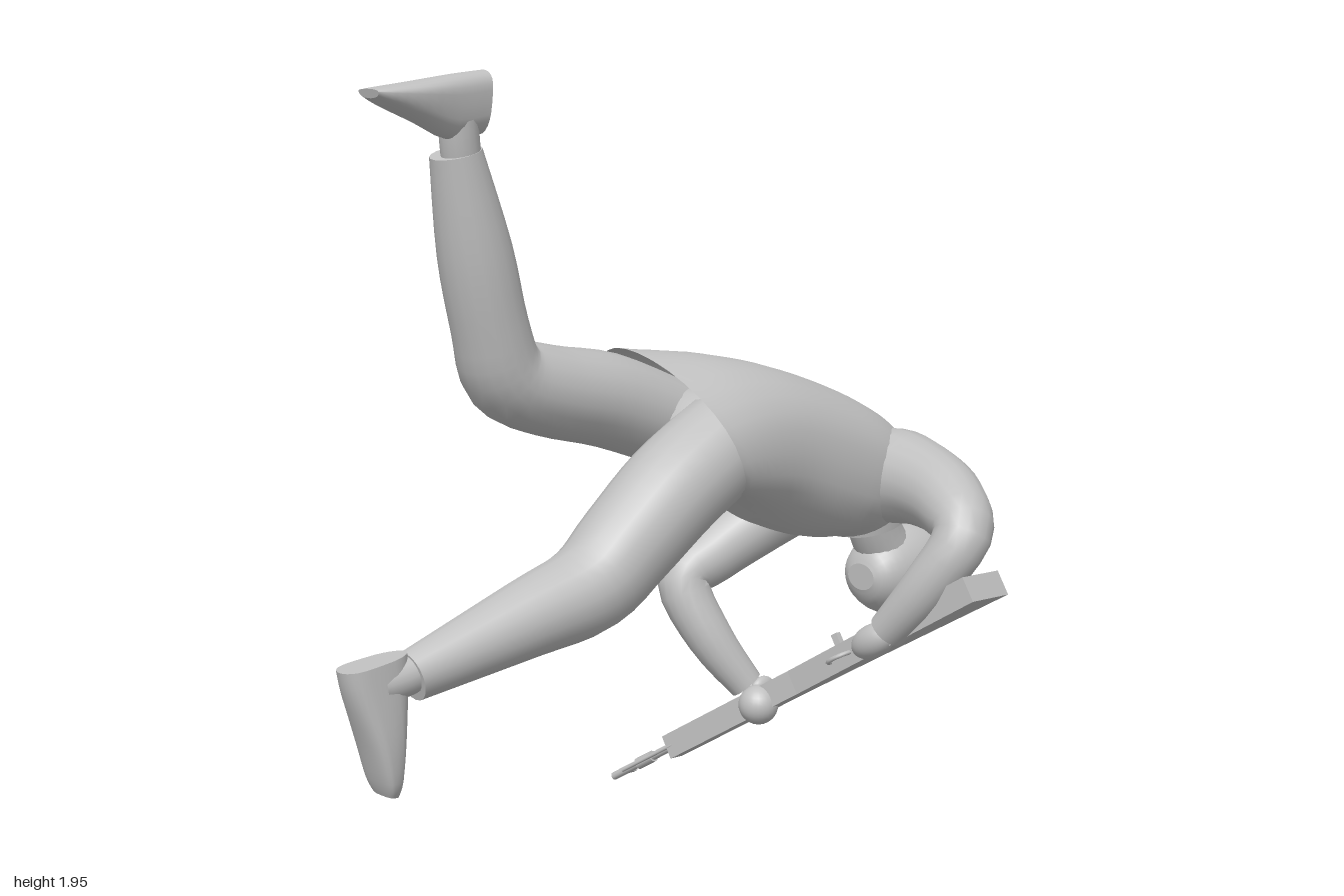
import * as THREE from 'three';

const V = (x, y, z) => new THREE.Vector3(x, y, z);

// Catmull-Rom smoothing of rows of numbers
function smooth(rows, steps) {
  const out = [];
  const at = i => rows[Math.max(0, Math.min(rows.length - 1, i))];
  for (let i = 0; i < rows.length - 1; i++) {
    for (let k = 0; k < steps; k++) {
      const t = k / steps;
      out.push(at(i).map((b, n) => {
        const a = at(i - 1)[n], c = at(i + 1)[n], d = at(i + 2)[n];
        return b + 0.5 * t * (c - a + t * (2 * a - 5 * b + 4 * c - d + t * (3 * (b - c) + d - a)));
      }));
    }
  }
  out.push(rows[rows.length - 1]);
  return out;
}

// Skin over rings { c, u, v }, with u x v pointing to the next ring.
// power below 1 makes rings boxier, flare widens them towards v.
function loft(rings, sides, { capStart = true, capEnd = true, power = 1, flare = 0 } = {}) {
  const pos = [], idx = [], last = rings.length - 1;
  rings.forEach(({ c, u, v }) => {
    for (let j = 0; j < sides; j++) {
      const a = (j / sides) * Math.PI * 2, s = Math.sin(a);
      const p = c.clone().addScaledVector(u, Math.cos(a) * (1 + flare * s))
        .addScaledVector(v, Math.sign(s) * Math.abs(s) ** power);
      pos.push(p.x, p.y, p.z);
    }
  });
  for (let i = 0; i < last; i++) {
    for (let j = 0; j < sides; j++) {
      const k = (j + 1) % sides, a = i * sides, b = a + sides;
      idx.push(a + j, a + k, b + k, a + j, b + k, b + j);
    }
  }
  const cap = (ring, flip) => {
    const base = pos.length / 3;
    for (let j = 0; j < sides; j++) {
      const q = (ring * sides + j) * 3;
      pos.push(pos[q], pos[q + 1], pos[q + 2]);
    }
    pos.push(...rings[ring].c.toArray());
    for (let j = 0; j < sides; j++) {
      const k = (j + 1) % sides;
      idx.push(base + sides, base + (flip ? k : j), base + (flip ? j : k));
    }
  };
  if (capStart) cap(0, true);
  if (capEnd) cap(last, false);
  const g = new THREE.BufferGeometry();
  g.setAttribute('position', new THREE.Float32BufferAttribute(pos, 3));
  g.setIndex(idx);
  g.computeVertexNormals();
  return g;
}

// Limb through rows of x, y, z, radius
function limb(rows, ref = V(1, 0, 0)) {
  const pts = smooth(rows, 4);
  return loft(pts.map((p, i) => {
    const a = pts[Math.max(0, i - 1)], b = pts[Math.min(pts.length - 1, i + 1)];
    const t = V(b[0] - a[0], b[1] - a[1], b[2] - a[2]).normalize();
    const u = ref.clone().cross(t).normalize();
    const v = t.clone().cross(u);
    return { c: V(p[0], p[1], p[2]), u: u.multiplyScalar(p[3]), v: v.multiplyScalar(p[3]) };
  }), 18);
}

// Symmetric body through rows of centre x, z1, y1, z2, y2, half width, sideways tilt
function body(rows, steps, options) {
  return loft(smooth(rows, steps).map(([x, z1, y1, z2, y2, w, tilt]) => ({
    c: V(x, (y1 + y2) / 2, (z1 + z2) / 2),
    u: V(w, -tilt, 0),
    v: V(0, (y2 - y1) / 2, (z2 - z1) / 2),
  })), 28, options);
}

export function createModel() {
  const model = new THREE.Group();
  const grey = new THREE.MeshStandardMaterial({ color: 0xc0c0c0, side: THREE.DoubleSide });
  grey.name = 'plain grey';
  const add = (name, geo, parent = model) => {
    const m = new THREE.Mesh(geo, grey);
    m.name = name;
    parent.add(m);
    return m;
  };
  const ball = (name, c, r, rot = [0, 0, 0]) => {
    const m = add(name, new THREE.SphereGeometry(1, 24, 16));
    m.position.set(...c);
    m.scale.set(...r);
    m.rotation.set(...rot);
  };

  // Jacket, open at the hem
  add('jacket', body([
    [-0.02, 0.02, 1.27, -0.11, 0.96, 0.24, 0.07],
    [-0.01, -0.13, 1.27, -0.2, 0.89, 0.222, 0.03],
    [0, -0.3, 1.235, -0.3, 0.83, 0.208, 0],
    [0.01, -0.5, 1.165, -0.4, 0.79, 0.203, 0],
    [0.01, -0.66, 1.09, -0.48, 0.77, 0.203, 0],
    [0.015, -0.755, 1.01, -0.54, 0.765, 0.182, 0],
    [0.03, -0.79, 0.91, -0.57, 0.76, 0.135, 0],
    [0.03, -0.785, 0.84, -0.6, 0.77, 0.09, 0],
  ], 4, { capStart: false, power: 0.85 }));
  add('collar', body([
    [0.03, -0.79, 0.85, -0.6, 0.79, 0.095, 0],
    [0.03, -0.8, 0.8, -0.61, 0.75, 0.09, 0],
  ], 1, { capStart: false, capEnd: false }));

  // Head and neck
  add('neck', limb([
    [0.03, 0.84, -0.7, 0.075], [0.03, 0.76, -0.72, 0.07], [0.03, 0.66, -0.78, 0.075],
  ]));
  add('head', body([
    [0.035, -0.665, 0.67, -0.665, 0.6, 0.045, 0], [0.035, -0.685, 0.71, -0.685, 0.56, 0.075, 0],
    [0.035, -0.74, 0.745, -0.74, 0.525, 0.098, 0], [0.035, -0.83, 0.758, -0.83, 0.508, 0.107, 0],
    [0.035, -0.925, 0.74, -0.925, 0.525, 0.097, 0], [0.035, -0.98, 0.705, -0.98, 0.57, 0.065, 0],
    [0.035, -1.0, 0.655, -1.0, 0.625, 0.015, 0],
  ], 3));

  // Trousers
  ball('hips', [-0.01, 1.07, -0.13], [0.17, 0.12, 0.13]);
  add('leftLeg', limb([
    [0.08, 1.07, -0.12, 0.125], [0.085, 0.98, 0.05, 0.125], [0.085, 0.87, 0.2, 0.118],
    [0.085, 0.785, 0.32, 0.108], [0.075, 0.74, 0.5, 0.09], [0.06, 0.665, 0.81, 0.057],
  ]));
  add('rightLeg', limb([
    [-0.1, 1.09, -0.12, 0.11], [-0.12, 1.17, 0.08, 0.115], [-0.12, 1.215, 0.27, 0.108],
    [-0.12, 1.265, 0.39, 0.1], [-0.11, 1.38, 0.44, 0.09], [-0.105, 1.56, 0.485, 0.086],
    [-0.095, 1.78, 0.54, 0.06],
  ]));

  // Ankles and shoes, shoes from heel to toe
  add('leftAnkle', limb([[0.06, 0.69, 0.74, 0.045], [0.06, 0.67, 0.82, 0.045], [0.06, 0.66, 0.9, 0.045]]));
  add('rightAnkle', limb([[-0.09, 1.7, 0.52, 0.045], [-0.08, 1.8, 0.54, 0.045], [-0.075, 1.9, 0.55, 0.045]]));
  const shoe = { power: 0.65, flare: 0.25 };
  add('leftShoe', body([
    [0.06, 0.82, 0.725, 0.995, 0.71, 0.038, 0], [0.06, 0.82, 0.66, 0.98, 0.65, 0.044, 0],
    [0.06, 0.835, 0.54, 0.94, 0.54, 0.054, 0], [0.06, 0.85, 0.45, 0.912, 0.45, 0.05, 0],
    [0.06, 0.86, 0.41, 0.897, 0.415, 0.035, 0],
  ], 3, shoe));
  add('rightShoe', body([
    [-0.07, 0.49, 1.82, 0.48, 1.96, 0.038, 0], [-0.07, 0.58, 1.81, 0.56, 1.953, 0.044, 0],
    [-0.07, 0.67, 1.85, 0.665, 1.94, 0.054, 0], [-0.07, 0.75, 1.885, 0.75, 1.93, 0.05, 0],
    [-0.07, 0.785, 1.905, 0.79, 1.925, 0.035, 0],
  ], 3, shoe));

  // Arms and hands
  add('leftArm', limb([
    [0.02, 0.92, -0.62, 0.1], [0.15, 0.925, -0.655, 0.122], [0.28, 0.92, -0.635, 0.105],
    [0.4, 0.895, -0.59, 0.09], [0.485, 0.84, -0.53, 0.072], [0.425, 0.71, -0.47, 0.062],
    [0.33, 0.59, -0.44, 0.048],
  ], V(0, 0, 1)));
  add('rightArm', limb([
    [-0.06, 0.92, -0.62, 0.09], [-0.115, 0.87, -0.6, 0.11], [-0.18, 0.78, -0.5, 0.092],
    [-0.215, 0.7, -0.36, 0.078], [-0.228, 0.64, -0.275, 0.068], [-0.16, 0.5, -0.305, 0.06],
    [-0.09, 0.375, -0.37, 0.045],
  ]));
  ball('leftHand', [0.285, 0.555, -0.44], [0.07, 0.042, 0.04], [0, 0, 0.55]);
  ball('leftThumb', [0.25, 0.535, -0.47], [0.035, 0.016, 0.045]);
  ball('rightHand', [-0.07, 0.32, -0.395], [0.052, 0.052, 0.052]);
  ball('rightThumb', [-0.09, 0.35, -0.43], [0.02, 0.035, 0.04]);

  // Rifle: local x runs from muzzle to butt, local y towards the sights
  const rifle = new THREE.Group();
  rifle.name = 'rifle';
  const axis = V(1.13, 0.72, -0.21).normalize();
  const up = V(0, 0, -1).addScaledVector(axis, -V(0, 0, -1).dot(axis)).normalize();
  rifle.quaternion.setFromRotationMatrix(
    new THREE.Matrix4().makeBasis(axis, up, axis.clone().cross(up)));
  rifle.position.set(-0.565, 0.015, -0.33);
  model.add(rifle);
  const box = (name, x, y, w, h, d, z = 0) =>
    add(name, new THREE.BoxGeometry(w, h, d), rifle).position.set(x, y, z);
  const rod = (name, x0, x1, y, r) => {
    const g = new THREE.CylinderGeometry(r, r, x1 - x0, 10).rotateZ(Math.PI / 2);
    add(name, g, rifle).position.set((x0 + x1) / 2, y, 0);
  };
  const outline = [[0.24, -0.03], [0.72, -0.035], [0.92, -0.05], [1.345, -0.08],
    [1.345, 0.08], [0.95, 0.04], [0.72, 0.025], [0.24, 0.02]];
  const shape = new THREE.Shape(outline.map(p => new THREE.Vector2(...p)));
  add('stock', new THREE.ExtrudeGeometry(shape, { depth: 0.064, bevelEnabled: false })
    .translate(0, 0, -0.032), rifle);
  rod('barrel', 0, 0.3, 0, 0.011);
  rod('muzzleBrake', 0.1, 0.16, 0, 0.016);
  rod('gasTube', 0.2, 0.72, 0.028, 0.016);
  rod('cleaningRod', 0.06, 0.26, -0.026, 0.005);
  box('frontSight', 0.03, 0.03, 0.015, 0.055, 0.012);
  box('receiver', 0.84, 0.04, 0.3, 0.055, 0.045);
  box('rearSight', 0.68, 0.065, 0.05, 0.06, 0.03);
  box('sightBlock', 0.97, 0.08, 0.05, 0.05, 0.03);
  box('boltHandle', 0.84, 0.055, 0.018, 0.018, 0.06, 0.045);
  const guard = add('triggerGuard', new THREE.TorusGeometry(0.035, 0.006, 6, 14, Math.PI), rifle);
  guard.rotation.z = Math.PI;
  guard.position.set(0.9, -0.045, 0);

  return model;
}
